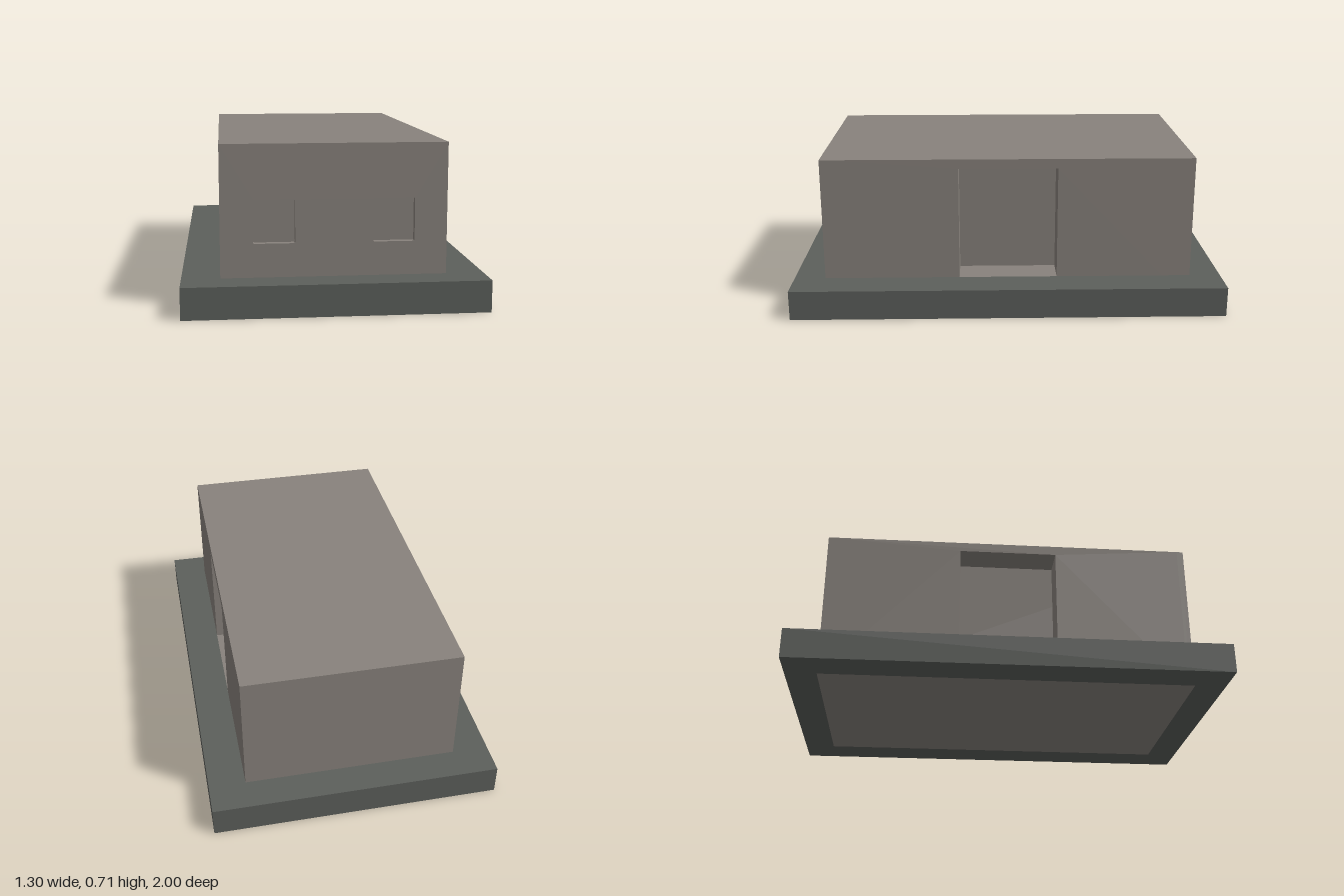
import * as THREE from 'three';

const W = 0.485, L = 0.856, H = 0.708;   // building half width, half length, height
const BASE_H = 0.138;                    // plinth height
const DOOR_DEPTH = 0.145, WINDOW_DEPTH = 0.03;

// Rectangle outline with slightly eased corners when r > 0
function rect(Type, x0, y0, x1, y1, r = 0) {
  const p = new Type();
  p.moveTo(x0 + r, y0);
  p.lineTo(x1 - r, y0);
  if (r) p.quadraticCurveTo(x1, y0, x1, y0 + r);
  p.lineTo(x1, y1 - r);
  if (r) p.quadraticCurveTo(x1, y1, x1 - r, y1);
  p.lineTo(x0 + r, y1);
  if (r) p.quadraticCurveTo(x0, y1, x0, y1 - r);
  p.lineTo(x0, y0 + r);
  if (r) p.quadraticCurveTo(x0, y0, x0 + r, y0);
  return p;
}

// Flat slab with openings
function slab(outline, holes, depth) {
  outline.holes.push(...holes);
  return new THREE.ExtrudeGeometry(outline, { depth, bevelEnabled: false, curveSegments: 3 });
}

export function createModel() {
  const model = new THREE.Group();
  model.name = 'building';
  const wall = new THREE.MeshStandardMaterial({ color: 0x88827c });
  wall.name = 'warm grey concrete';
  const stone = new THREE.MeshStandardMaterial({ color: 0x5c5f5b });
  stone.name = 'dark grey foundation';

  const add = (name, geometry, material) => {
    const mesh = new THREE.Mesh(geometry, material);
    mesh.name = name;
    model.add(mesh);
    return mesh;
  };

  // Foundation rim around the building footprint
  const rim = slab(rect(THREE.Shape, -0.65, -1, 0.65, 1), [rect(THREE.Path, -W, -L, W, L)], BASE_H);
  rim.rotateX(-Math.PI / 2);
  add('foundation', rim, stone);

  // Solid core, whose sides close the backs of the recesses
  const coreFront = L - WINDOW_DEPTH;
  const core = new THREE.BoxGeometry(2 * (W - DOOR_DEPTH), H, coreFront + L);
  core.translate(0, H / 2, (coreFront - L) / 2);
  add('core', core, wall);

  // Long walls, each with a deep doorway
  for (const side of [1, -1]) {
    const geometry = slab(
      rect(THREE.Shape, -coreFront, 0, L, H),
      [rect(THREE.Path, -0.228, BASE_H, 0.228, 0.663)],
      DOOR_DEPTH
    );
    geometry.rotateY(Math.PI / 2);
    geometry.translate(side > 0 ? W - DOOR_DEPTH : -W, 0, 0);
    add(side > 0 ? 'leftDoorWall' : 'rightDoorWall', geometry, wall);
  }

  // Front wall with two shallow window recesses
  const windows = [-1, 1].map((s) =>
    rect(THREE.Path, s * 0.256 - 0.089, 0.284, s * 0.256 + 0.089, 0.471, 0.006));
  const front = slab(rect(THREE.Shape, -W, 0, W, H), windows, WINDOW_DEPTH);
  front.translate(0, 0, coreFront);
  add('frontWindowWall', front, wall);

  return model;
}
